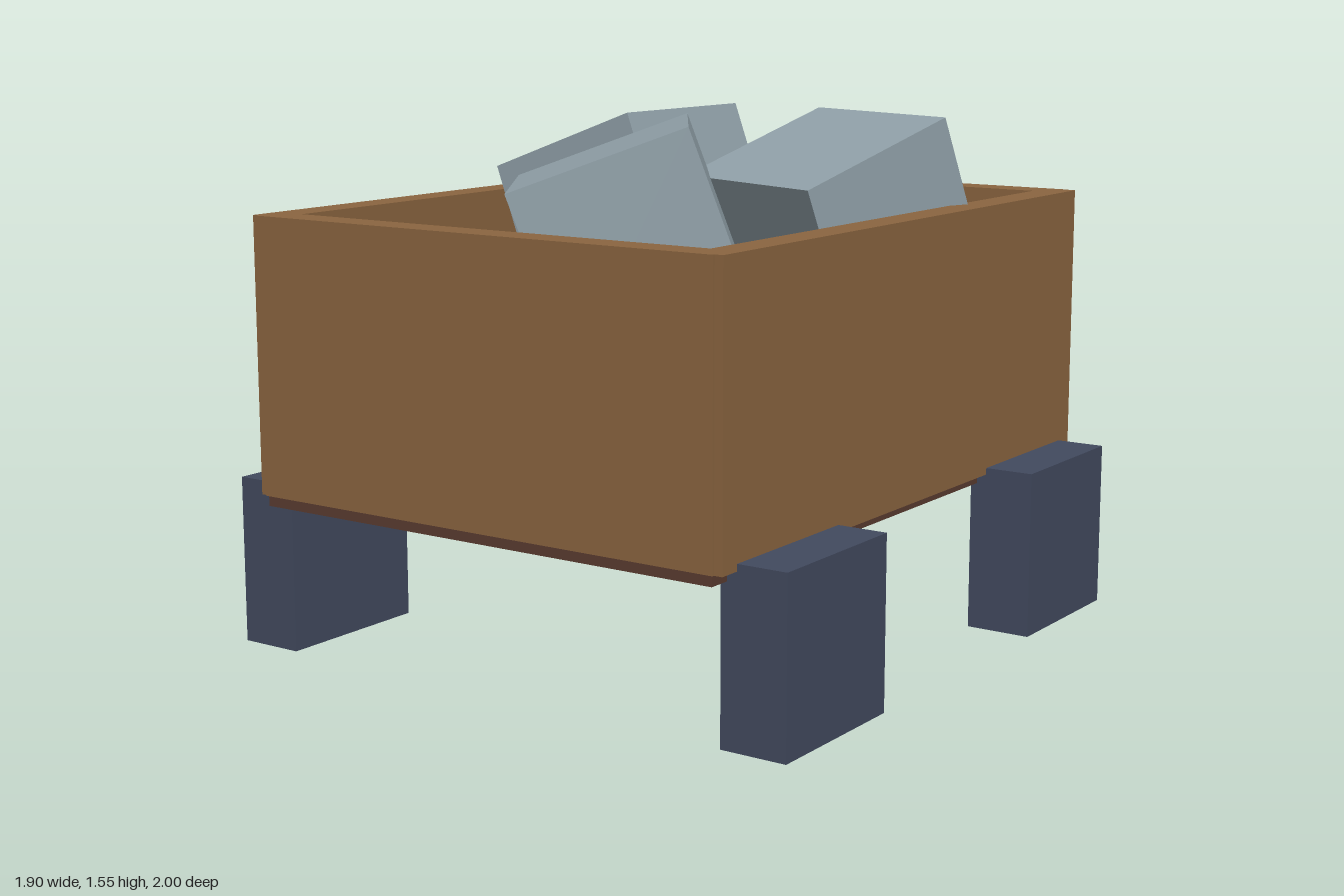
import * as THREE from 'three';

const material = (color) => new THREE.MeshStandardMaterial({ color, flatShading: true });

export function createModel() {
  const model = new THREE.Group();
  const wood = material(0x8b6540);
  const darkWood = material(0x5a3c30);
  const wheelPaint = material(0x424a5f);
  const stone = material(0x90a0a8);

  const box = (name, size, position, mat) => {
    const mesh = new THREE.Mesh(new THREE.BoxGeometry(...size), mat);
    mesh.name = name;
    mesh.position.set(...position);
    model.add(mesh);
    return mesh;
  };

  // Cart bed
  box('floor', [1.54, 0.1, 1.99], [0, 0.5, 0], darkWood);

  // Walls: the end panels stand slightly proud of the side panels
  for (const s of [1, -1]) {
    const side = s > 0 ? 'left' : 'right';
    const end = s > 0 ? 'front' : 'back';
    box(`${side}Wall`, [0.1, 0.81, 1.985], [s * 0.75, 0.885, 0], wood);
    box(`${end}Wall`, [1.55, 0.81, 0.1], [0, 0.885, s * 0.95], wood);

    // Square block wheels
    for (const t of [1, -1]) {
      box(`${t > 0 ? 'front' : 'back'}${s > 0 ? 'Left' : 'Right'}Wheel`,
        [0.2, 0.5, 0.495], [s * 0.85, 0.25, t * 0.678], wheelPaint);
    }
  }

  // Load of tilted stone blocks: x, z, yaw
  const stones = [[-0.36, -0.275, 0], [0, 0.27, 0.61], [0.36, -0.28, 1.22]];
  stones.forEach(([x, z, yaw], i) => {
    const block = box(`stoneBlock${i + 1}`, [0.54, 0.54, 0.59], [x, 1.203, z], stone);
    block.rotation.set(0, yaw, 0.35);
  });

  return model;
}
